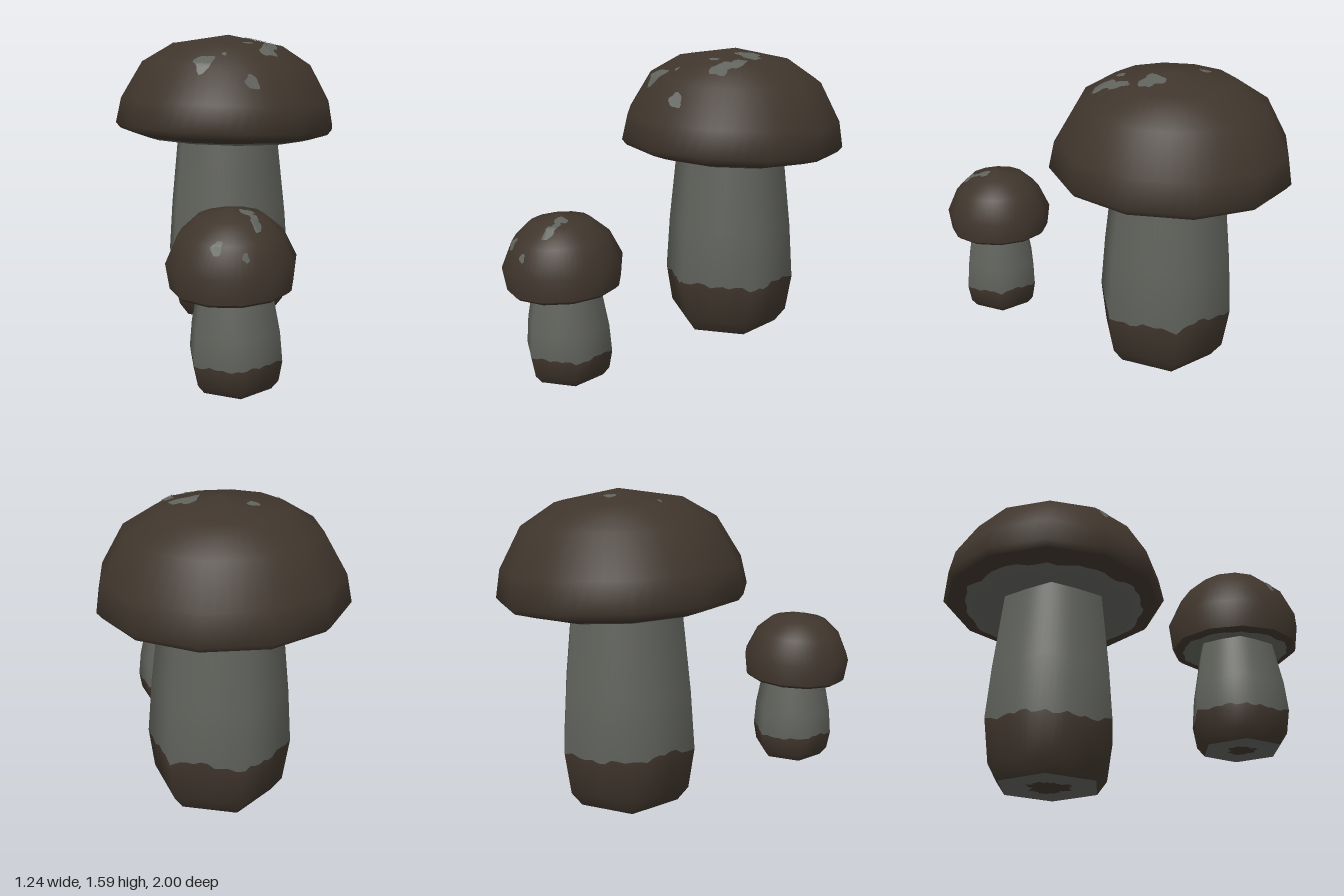
import * as THREE from 'three';

const brown = new THREE.MeshStandardMaterial({ color: 0x3f352c });
brown.name = 'brown';
const grey = new THREE.MeshStandardMaterial({ color: 0x60625c });
grey.name = 'grey';
const BROWN = 0, GREY = 1;

// radius factor of a regular polygon at azimuth a
function polygon(a, sides, phase) {
  const step = (2 * Math.PI) / sides;
  const d = ((((a - phase) % step) + step) % step) - step / 2;
  return Math.cos(step / 2) / Math.cos(d);
}

// ragged edge between two colours
const ragged = (a) =>
  0.4 * Math.sin(3 * a + 1) + 0.35 * Math.sin(8 * a + 2) + 0.35 * Math.sin(19 * a);

// Polygonal loft with smooth normals. Each row: [radius, y, colour above, radius wobble, y wobble].
// A repeated row makes a crease.
function loft(name, rows, sides, phase, sub) {
  const n = sides * sub, pos = [], nor = [], idx = [];
  const geo = new THREE.BufferGeometry();
  const segment = rows.slice(1).map((q, j) => {
    const dr = q[0] - rows[j][0], dy = q[1] - rows[j][1], l = Math.hypot(dr, dy);
    return l ? [dy / l, -dr / l] : null;
  });
  rows.forEach(([r, y, , wr = 0, wy = 0], j) => {
    const s0 = segment[j - 1] || [0, 0], s1 = segment[j] || [0, 0];
    const nr = s0[0] + s1[0], ny = s0[1] + s1[1], l = Math.hypot(nr, ny);
    for (let i = 0; i <= n; i++) {
      const a = phase + (i / n) * 2 * Math.PI, w = ragged(a);
      const rad = (r + wr * w) * polygon(a, sides, phase);
      pos.push(rad * Math.sin(a), y + wy * w, rad * Math.cos(a));
      nor.push((nr / l) * Math.sin(a), ny / l, (nr / l) * Math.cos(a));
    }
  });
  segment.forEach((s, j) => {
    if (!s) return;
    const start = idx.length;
    for (let i = 0; i < n; i++) {
      const p = j * (n + 1) + i, q = p + n + 1;
      if (rows[j][0] > 0) idx.push(p, p + 1, q + 1);
      if (rows[j + 1][0] > 0) idx.push(p, q + 1, q);
      if (rows[j][0] === 0) idx.splice(-3, 3, p, q + 1, q);
    }
    geo.addGroup(start, idx.length - start, rows[j][2]);
  });
  geo.setAttribute('position', new THREE.Float32BufferAttribute(pos, 3));
  geo.setAttribute('normal', new THREE.Float32BufferAttribute(nor, 3));
  geo.setIndex(idx);
  const mesh = new THREE.Mesh(geo, [brown, grey]);
  mesh.name = name;
  return mesh;
}

// thin irregular patch lying on the upper surface of a cap
function spot([x, z, rx, rz, turn = 0], dome, sides, phase) {
  const height = (px, pz) => {
    const r = Math.hypot(px, pz) / polygon(Math.atan2(px, pz), sides, phase);
    for (let j = 0; j < dome.length - 1; j++) {
      const [r0, y0] = dome[j], [r1, y1] = dome[j + 1];
      if (r <= r0 && r >= r1) return y0 + ((y1 - y0) * (r0 - r)) / (r0 - r1);
    }
    return dome[0][1];
  };
  const rings = 5, n = 20, pos = [], idx = [];
  for (let k = 0; k <= rings; k++) {
    for (let i = 0; i <= n; i++) {
      const a = (i / n) * 2 * Math.PI;
      const t = (k / rings) * (1 + 0.13 * Math.sin(3 * a + 40 * x) + 0.08 * Math.sin(5 * a + 30 * z));
      const u = t * rx * Math.sin(a), v = t * rz * Math.cos(a);
      const px = x + u * Math.cos(turn) + v * Math.sin(turn);
      const pz = z - u * Math.sin(turn) + v * Math.cos(turn);
      pos.push(px, height(px, pz) + 0.005, pz);
      if (k < rings && i < n) {
        const p = k * (n + 1) + i, q = p + n + 1;
        idx.push(p, q, q + 1);
        if (k > 0) idx.push(p, q + 1, p + 1);
      }
    }
  }
  const geo = new THREE.BufferGeometry();
  geo.setAttribute('position', new THREE.Float32BufferAttribute(pos, 3));
  geo.setIndex(idx);
  geo.computeVertexNormals();
  const mesh = new THREE.Mesh(geo, grey);
  mesh.name = 'capSpot';
  return mesh;
}

function mushroom(m) {
  const group = new THREE.Group();
  group.name = m.name;

  // six-sided stem with an earthy foot
  const stem = loft('stem', m.stem, 6, THREE.MathUtils.degToRad(50), 10);
  stem.position.set(...m.stemAt);
  group.add(stem);

  // twelve-sided cap, slightly tilted, with spots
  const phase = THREE.MathUtils.degToRad(20);
  const cap = new THREE.Group();
  cap.name = 'cap';
  cap.position.set(...m.capAt);
  cap.rotation.set(m.tilt[0], 0, m.tilt[1]);
  cap.add(loft('capBody', [...m.underside, ...m.dome], 12, phase, 5));
  for (const s of m.spots) {
    cap.add(spot([s[0] - m.capAt[0], s[1] - m.capAt[2], ...s.slice(2)], m.dome, 12, phase));
  }
  for (const part of cap.children) part.position.y = -m.capAt[1];
  group.add(cap);
  return group;
}

export function createModel() {
  const model = new THREE.Group();
  model.name = 'mushrooms';

  model.add(mushroom({
    name: 'largeMushroom',
    stemAt: [0, 0, -0.37],
    stem: [
      [0, 0, BROWN], [0.12, 0, GREY, 0.03], [0.285, 0, GREY], [0.285, 0, BROWN],
      [0.345, 0.08, BROWN], [0.378, 0.3, GREY, 0, 0.025], [0.356, 0.6, GREY], [0.305, 1.06, GREY],
    ],
    capAt: [0, 1.05, -0.38],
    tilt: [-0.02, -0.035],
    underside: [
      [0.26, 1.035, GREY], [0.46, 1.015, GREY], [0.51, 1.029, BROWN, 0.02, 0.005], [0.605, 1.06, BROWN],
    ],
    dome: [
      [0.605, 1.06, BROWN], [0.63, 1.09, BROWN], [0.602, 1.23, BROWN],
      [0.485, 1.435, BROWN], [0.315, 1.54, BROWN], [0, 1.595, BROWN],
    ],
    spots: [
      [-0.09, -0.52, 0.032, 0.028], [-0.31, -0.415, 0.012, 0.01],
      [0.14, -0.31, 0.05, 0.05], [0.16, -0.27, 0.06, 0.04], [0.1, -0.28, 0.045, 0.025],
      [0.17, -0.14, 0.035, 0.05], [0.14, -0.08, 0.03, 0.05, -0.6], [0.115, -0.03, 0.05, 0.04],
      [0.03, -0.115, 0.03, 0.022], [-0.25, 0, 0.055, 0.042], [-0.135, -0.015, 0.012, 0.014],
      [-0.03, 0.142, 0.038, 0.02],
    ],
  }));

  model.add(mushroom({
    name: 'smallMushroom',
    stemAt: [-0.3, 0, 0.7],
    stem: [
      [0, 0, BROWN], [0.065, 0, GREY, 0.015], [0.18, 0, GREY], [0.18, 0, BROWN],
      [0.215, 0.045, BROWN], [0.233, 0.145, GREY, 0, 0.012], [0.221, 0.28, GREY], [0.178, 0.5, GREY],
    ],
    capAt: [-0.313, 0.5, 0.698],
    tilt: [0.02, 0.03],
    underside: [
      [0.14, 0.49, GREY], [0.245, 0.475, BROWN, 0.008], [0.27, 0.47, BROWN], [0.287, 0.485, BROWN],
    ],
    dome: [
      [0.287, 0.485, BROWN], [0.303, 0.605, BROWN], [0.243, 0.735, BROWN],
      [0.153, 0.815, BROWN], [0, 0.848, BROWN],
    ],
    spots: [
      [-0.253, 0.755, 0.034, 0.032], [-0.24, 0.81, 0.017, 0.04], [-0.245, 0.855, 0.022, 0.035],
      [-0.44, 0.9, 0.025, 0.016], [-0.33, 0.958, 0.016, 0.009],
    ],
  }));

  return model;
}
